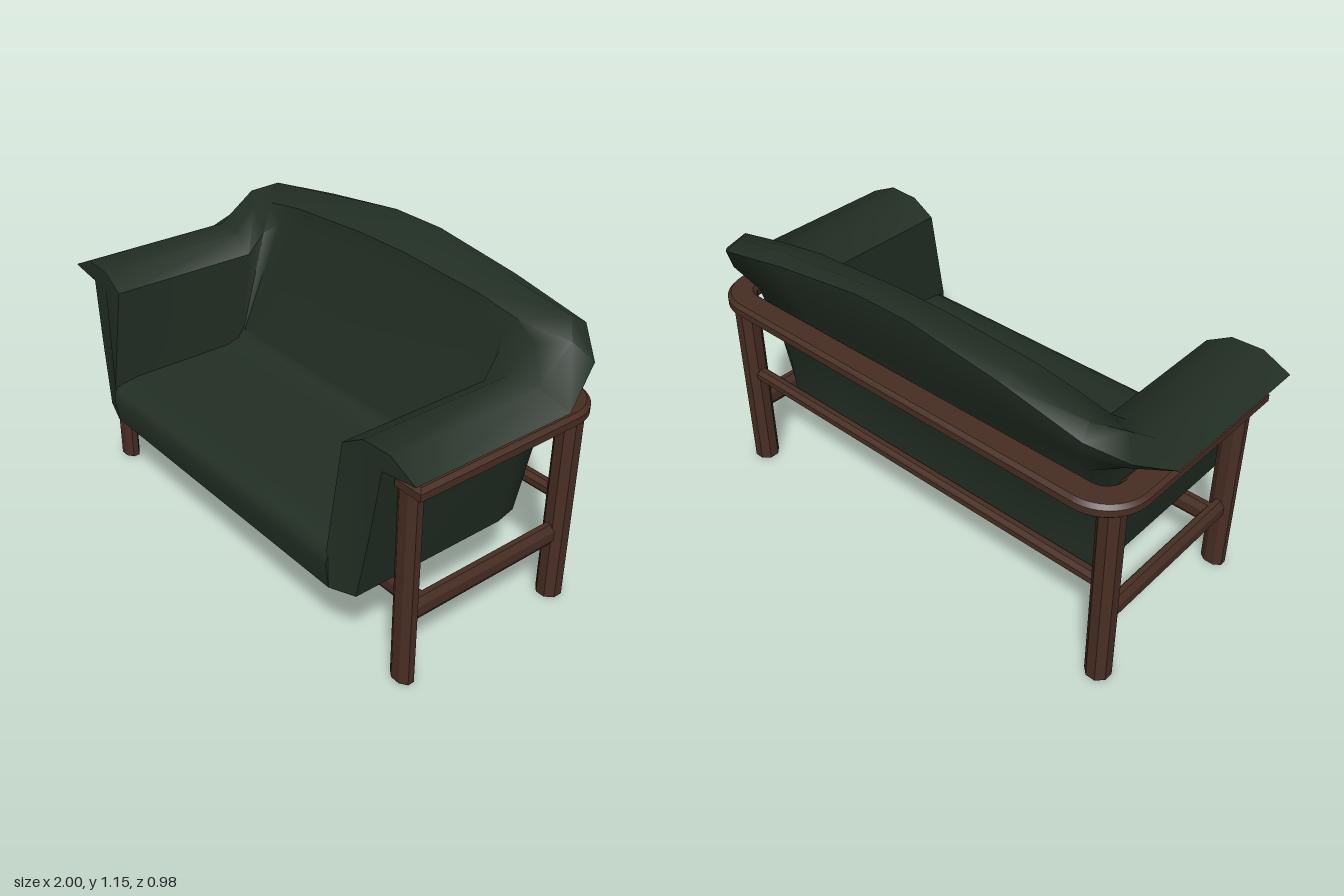
import * as THREE from 'three';
import { toCreasedNormals } from 'three/addons/utils/BufferGeometryUtils.js';

const wood = new THREE.MeshStandardMaterial({ name: 'darkWood', color: 0x482e24 });
const fabric = new THREE.MeshStandardMaterial({ name: 'darkGreenFabric', color: 0x222f24, side: THREE.DoubleSide });

function add(group, name, geometry, material) {
  const mesh = new THREE.Mesh(geometry, material);
  mesh.name = name;
  group.add(mesh);
  return mesh;
}

// Eight-sided bar standing along y, w by d across its flats
function bar(w, length, d) {
  const g = new THREE.CylinderGeometry(0.5, 0.5, length, 8);
  g.rotateY(Math.PI / 8);
  const k = 1 / Math.cos(Math.PI / 8);
  g.scale(w * k, 1, d * k);
  return toCreasedNormals(g, 0.5);
}

// U-shaped top rail seen in plan (shape y = -z), with rounded back corners
function topRail() {
  const s = new THREE.Shape();
  s.moveTo(0.965, -0.375);
  s.lineTo(0.965, 0.32);
  s.absarc(0.795, 0.32, 0.17, 0, Math.PI / 2, false);
  s.lineTo(-0.795, 0.49);
  s.absarc(-0.795, 0.32, 0.17, Math.PI / 2, Math.PI, false);
  s.lineTo(-0.965, -0.375);
  s.lineTo(-0.85, -0.375);
  s.lineTo(-0.85, 0.32);
  s.absarc(-0.795, 0.32, 0.06, Math.PI, Math.PI / 2, true);
  s.lineTo(0.795, 0.38);
  s.absarc(0.795, 0.32, 0.06, Math.PI / 2, 0, true);
  s.lineTo(0.85, -0.375);
  s.closePath();
  const g = new THREE.ExtrudeGeometry(s, {
    depth: 0.027, bevelThickness: 0.014, bevelSize: 0.014, bevelOffset: -0.014,
    bevelSegments: 1, curveSegments: 6,
  });
  g.rotateX(-Math.PI / 2);
  g.translate(0, 0.774, 0);
  return toCreasedNormals(g, 0.5);
}

// Each section of the padded shell runs from the seat crease, over the crest
// and lip, then down the outside.
// Arm section (x, y), and how far back each of its points reaches
const armProfile = [[0.665, 0.47], [0.67, 0.86], [0.765, 0.917], [0.89, 0.922], [1, 0.87],
  [0.93, 0.86], [0.855, 0.85], [0.82, 0.6], [0.775, 0.335]];
const armBackZ = [-0.12, -0.18, -0.18, -0.2, -0.23, -0.23, -0.22, -0.2, -0.2];
// Backrest section (y, z, drop towards the ends), and x of its outermost copy
const backProfile = [[0.5, -0.12, 0], [1.03, -0.3, 0.05], [1.1, -0.31, 0.05], [1.155, -0.43, 0.08],
  [1.15, -0.487, 0.11], [1.02, -0.47, 0.05], [0.85, -0.39, 0], [0.5, -0.3, 0], [0.345, -0.3, 0]];
const backEndX = [0.64, 0.62, 0.68, 0.8, 0.82, 0.81, 0.78, 0.76, 0.74];
// Turn between arm and backrest
const corner = [[0.66, 0.5, -0.125], [0.66, 0.94, -0.25], [0.78, 1.01, -0.29], [0.88, 1.035, -0.35],
  [0.94, 0.97, -0.4], [0.9, 0.93, -0.39], [0.835, 0.86, -0.35], [0.805, 0.6, -0.3], [0.765, 0.345, -0.28]];

const armSection = (zAt) => armProfile.map(([x, y], j) => [x, y, zAt(y, j)]);
const backSection = (xAt, drop) => backProfile.map(([y, z, d], j) => [xAt(j), y - d * drop, z]);
const flip = ([x, y, z]) => [-x, y, z];

function shell() {
  const half = [
    armSection((y, j) => 0.43 + Math.max(0, 0.87 - y) * 0.04 + (j === 0 ? 0.04 : 0)),
    armSection((y, j) => armBackZ[j]),
    corner,
    backSection((j) => backEndX[j], 1),
    backSection(() => 0.5, 0.45),
    backSection(() => 0.12, 0),
  ];
  const sections = [...half, ...half.map((s) => s.map(flip)).reverse()];
  const pos = [];
  const tri = (a, b, c) => pos.push(...a, ...b, ...c);
  // Skin between neighbouring sections
  for (let i = 0; i < sections.length - 1; i++) {
    const a = sections[i], b = sections[i + 1];
    for (let j = 0; j < a.length - 1; j++) {
      tri(a[j], a[j + 1], b[j]);
      tri(a[j + 1], b[j + 1], b[j]);
    }
  }
  // Front faces of the arms
  const toe = [0.67, 0.32, 0.48];
  const mid = [0.77, 0.87, 0.432];
  const rim = [...half[0], toe];
  rim.forEach((p, i) => {
    const n = rim[(i + 1) % rim.length];
    tri(mid, n, p);
    tri(flip(mid), flip(p), flip(n));
  });
  // Underside
  const base = [toe, ...sections.map((s) => s[s.length - 1]), flip(toe)];
  base.forEach((p, i) => tri([0, 0.332, 0.05], base[(i + 1) % base.length], p));
  const g = new THREE.BufferGeometry();
  g.setAttribute('position', new THREE.Float32BufferAttribute(pos, 3));
  return toCreasedNormals(g, 0.85);
}

// Seat cushion: side profile (z, y) extruded across the width
function seat() {
  const profile = [[0.48, 0.32], [0.492, 0.42], [0.482, 0.455], [0.45, 0.475], [0.38, 0.485],
    [-0.05, 0.485], [-0.11, 0.5], [-0.135, 0.54], [-0.2, 0.54], [-0.2, 0.36]];
  const s = new THREE.Shape(profile.map(([z, y]) => new THREE.Vector2(z, y)));
  const g = new THREE.ExtrudeGeometry(s, { depth: 1.34, bevelEnabled: false });
  g.rotateY(-Math.PI / 2);
  g.translate(0.67, 0, 0);
  return toCreasedNormals(g, 0.85);
}

export function createModel() {
  const model = new THREE.Group();
  model.name = 'sofa';

  const frame = new THREE.Group();
  frame.name = 'woodenFrame';
  add(frame, 'topRail', topRail(), wood);
  for (const side of [1, -1]) {
    const label = side > 0 ? 'left' : 'right';
    add(frame, label + 'FrontLeg', bar(0.09, 0.77, 0.062), wood).position.set(side * 0.878, 0.385, 0.331);
    add(frame, label + 'BackLeg', bar(0.09, 0.77, 0.09), wood).position.set(side * 0.878, 0.385, -0.39);
    const rail = add(frame, label + 'SideRail', bar(0.05, 0.7, 0.088), wood);
    rail.rotation.x = Math.PI / 2;
    rail.position.set(side * 0.878, 0.275, -0.03);
  }
  const frontRail = add(frame, 'frontRail', bar(0.084, 1.74, 0.05), wood);
  frontRail.rotation.z = Math.PI / 2;
  frontRail.position.set(0, 0.275, 0.26);
  const backRail = add(frame, 'backRail', bar(0.055, 1.74, 0.05), wood);
  backRail.rotation.z = Math.PI / 2;
  backRail.position.set(0, 0.425, -0.39);
  model.add(frame);

  const upholstery = new THREE.Group();
  upholstery.name = 'upholstery';
  add(upholstery, 'armsAndBack', shell(), fabric);
  add(upholstery, 'seatCushion', seat(), fabric);
  model.add(upholstery);
  return model;
}
